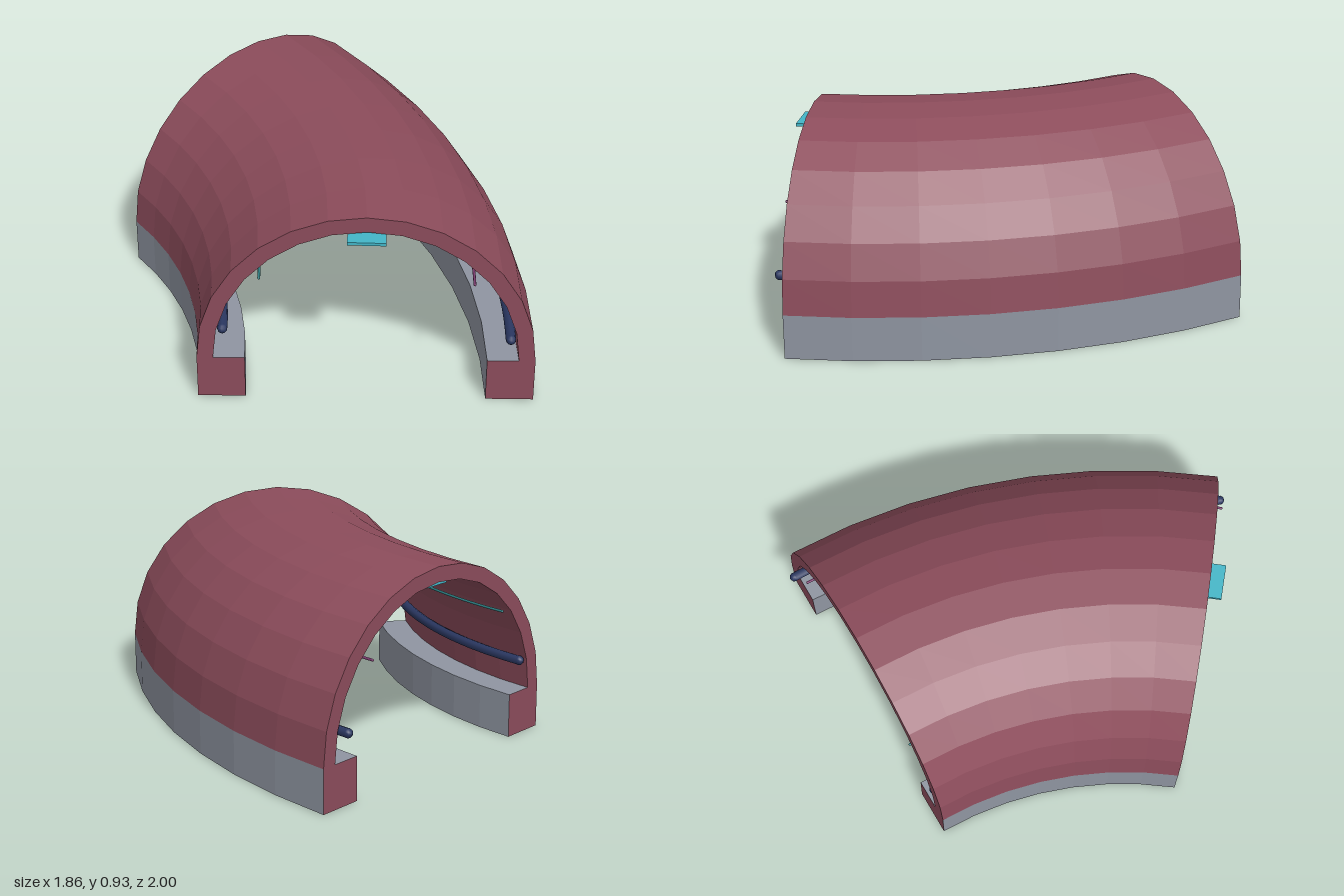
import * as THREE from 'three';

// The tunnel bends round a vertical axis at (CX, CZ); angles turn from +x towards -z.
const CX = -2.161, CZ = 1.062, MID = 2.375;
const START = 3.2, END = 41.8, SEGMENTS = 7;
const SPRING = 0.205, OUTER = 0.72, INNER = 0.65, CURB = 0.205;

function arcPoint(r, y, degrees) {
  const a = THREE.MathUtils.degToRad(degrees);
  return new THREE.Vector3(CX + r * Math.cos(a), y, CZ - r * Math.sin(a));
}

// Sweep a counter-clockwise (radius, height) profile; group 0 is the sides, group 1 the end caps.
function sweep(profile, a0, a1, steps) {
  const positions = [];
  const at = (p, i) => arcPoint(p.x, p.y, a0 + (a1 - a0) * i / steps);
  const tri = (...pts) => pts.forEach((p) => positions.push(p.x, p.y, p.z));
  for (let i = 0; i < steps; i++) {
    profile.forEach((p, j) => {
      const q = profile[(j + 1) % profile.length];
      tri(at(p, i), at(p, i + 1), at(q, i));
      tri(at(q, i), at(p, i + 1), at(q, i + 1));
    });
  }
  const sideCount = positions.length / 3;
  for (const [a, b, c] of THREE.ShapeUtils.triangulateShape(profile, [])) {
    tri(at(profile[a], 0), at(profile[b], 0), at(profile[c], 0));
    tri(at(profile[a], steps), at(profile[c], steps), at(profile[b], steps));
  }
  const geometry = new THREE.BufferGeometry();
  geometry.setAttribute('position', new THREE.Float32BufferAttribute(positions, 3));
  geometry.addGroup(0, sideCount, 0);
  geometry.addGroup(sideCount, positions.length / 3 - sideCount, 1);
  geometry.computeVertexNormals();
  return geometry;
}

function rectangle(r0, r1, y0, y1) {
  return [[r0, y0], [r1, y0], [r1, y1], [r0, y1]].map(([x, y]) => new THREE.Vector2(x, y));
}

// Half ring with 14 facets
function archProfile() {
  const outer = [], inner = [];
  for (let i = 0; i <= 14; i++) {
    const a = Math.PI * i / 14;
    outer.push(new THREE.Vector2(MID + OUTER * Math.cos(a), SPRING + OUTER * Math.sin(a)));
    inner.unshift(new THREE.Vector2(MID + INNER * Math.cos(a), SPRING + INNER * Math.sin(a)));
  }
  return [...outer, ...inner];
}

// Round pipe following the bend, with rounded ends
function pipe(name, r, y, radius, a0, a1, material) {
  const group = new THREE.Group();
  group.name = name;
  const points = [];
  for (let i = 0; i <= 14; i++) points.push(arcPoint(r, y, a0 + (a1 - a0) * i / 14));
  const curve = new THREE.CatmullRomCurve3(points);
  const body = new THREE.Mesh(new THREE.TubeGeometry(curve, 28, radius, 8), material);
  body.name = name + 'Body';
  group.add(body);
  for (const p of [points[0], points[14]]) {
    const end = new THREE.Mesh(new THREE.SphereGeometry(radius, 8, 6), material);
    end.name = name + 'End';
    end.position.copy(p);
    group.add(end);
  }
  return group;
}

export function createModel() {
  const colour = (name, hex) => {
    const m = new THREE.MeshStandardMaterial({ color: hex });
    m.name = name;
    return m;
  };
  const red = colour('dusty red', 0x8c4c5b);
  const grey = colour('concrete grey', 0x8f95a1);
  const navy = colour('navy', 0x2b3862);
  const cyan = colour('cyan', 0x43b6c8);
  const purple = colour('purple', 0x7d3c70);
  const teal = colour('teal', 0x2f7f83);

  const model = new THREE.Group();
  model.name = 'curvedTunnel';
  const add = (name, geometry, materials) => {
    const mesh = new THREE.Mesh(geometry, materials);
    mesh.name = name;
    model.add(mesh);
  };

  // Vaulted shell
  add('tunnelShell', sweep(archProfile(), START, END, SEGMENTS), [red, red]);

  // Curbs with red end faces
  const curbs = [['innerCurb', MID - OUTER], ['outerCurb', MID + OUTER - CURB]];
  for (const [name, r] of curbs) {
    add(name, sweep(rectangle(r, r + CURB, 0, SPRING), START, END, SEGMENTS), [grey, red]);
  }

  // Ceiling light strip, standing out at the front
  add('ceilingLight', sweep(rectangle(MID - 0.08, MID + 0.08, 0.832, 0.846), 1.65, 41.2, 14), [cyan, cyan]);

  // Wall pipes and thin light lines on both sides
  model.add(pipe('outerPipe', MID + 0.608, 0.343, 0.022, 2.55, 42.45, navy));
  model.add(pipe('innerPipe', MID - 0.608, 0.343, 0.022, 3.9, 41.1, navy));
  model.add(pipe('outerLine', MID + 0.447, 0.62, 0.006, 2.6, 42.3, purple));
  model.add(pipe('innerLine', MID - 0.447, 0.62, 0.006, 3.2, 41.8, teal));

  return model;
}
